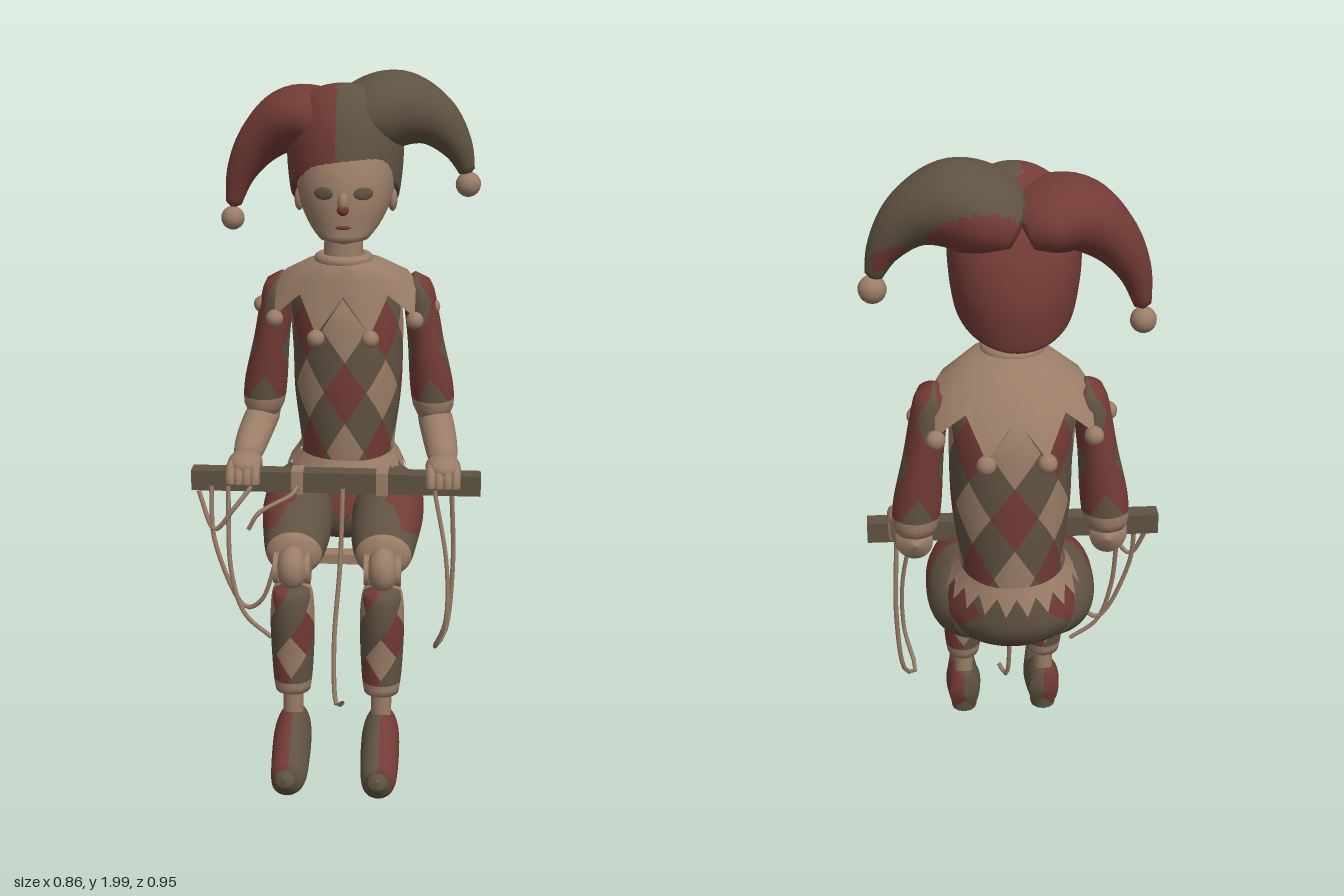
import * as THREE from 'three';

const mat = (name, color, side = THREE.FrontSide) => {
  const m = new THREE.MeshStandardMaterial({ color, side });
  m.name = name;
  return m;
};
const beige = mat('beige', 0x9a7d67, THREE.DoubleSide);
const red = mat('red', 0x733b35);
const olive = mat('olive', 0x5f5241);
const PALETTE = [beige, red, olive];
const X = new THREE.Vector3(1, 0, 0), Y = new THREE.Vector3(0, 1, 0), Z = new THREE.Vector3(0, 0, 1);

function add(group, name, geo, material, pos = [0, 0, 0], scale = [1, 1, 1]) {
  const m = new THREE.Mesh(geo, material);
  m.name = name;
  m.position.set(...pos);
  m.scale.set(...scale);
  group.add(m);
  return m;
}

// Closed elliptical loft along a curve through sections [x, y, z, r1, r2]. U x V is a grid of
// half diamonds, each split k x k; pick(u, v, p) chooses the palette colour of a triangle.
// A given axis keeps all rings parallel; otherwise they follow the curve.
function loft(group, name, sections, pick, { U = 8, V = 4, k = 3, side = X, axis = null } = {}) {
  const path = new THREE.CatmullRomCurve3(sections.map(s => new THREE.Vector3(s[0], s[1], s[2])));
  const radii = new THREE.CatmullRomCurve3(sections.map(s => new THREE.Vector3(s[3], s[4], 0)), false, 'catmullrom');
  const cols = U * k, rows = V * k, pos = [], buckets = [[], [], []];
  for (let j = 0; j <= rows; j++) {
    const t = path.getUtoTmapping(j / rows);
    const c = path.getPoint(t), r = radii.getPoint(t);
    if (j === 0 || j === rows) r.set(0.001, 0.001, 0);
    const n = (axis ? axis.clone() : path.getTangent(t)).cross(side).normalize();
    for (let i = 0; i < cols; i++) {
      const a = i / cols * Math.PI * 2;
      const p = c.clone().addScaledVector(side, Math.cos(a) * Math.max(r.x, 0.001))
        .addScaledVector(n, Math.sin(a) * Math.max(r.y, 0.001));
      pos.push(p.x, p.y, p.z);
    }
  }
  const id = ([i, j]) => j * cols + i % cols;
  const p = new THREE.Vector3(), q = new THREE.Vector3();
  for (let j = 0; j < rows; j++) for (let i = 0; i < cols; i++) {
    const A = [i, j], B = [i + 1, j], C = [i + 1, j + 1], D = [i, j + 1];
    const even = (Math.floor(i / k) + Math.floor(j / k)) % 2 === 0;
    for (const tri of even ? [[A, B, C], [A, C, D]] : [[A, B, D], [B, C, D]]) {
      p.set(0, 0, 0);
      tri.forEach(v => p.add(q.fromArray(pos, id(v) * 3)));
      const u = (tri[0][0] + tri[1][0] + tri[2][0]) / 3 / k, v = (tri[0][1] + tri[1][1] + tri[2][1]) / 3 / k;
      buckets[pick(u, v, p.divideScalar(3))].push(...tri.map(id));
    }
  }
  const geo = new THREE.BufferGeometry();
  geo.setAttribute('position', new THREE.Float32BufferAttribute(pos, 3));
  geo.setIndex(buckets.flat());
  let start = 0;
  buckets.forEach((b, m) => { if (b.length) geo.addGroup(start, b.length, m); start += b.length; });
  geo.computeVertexNormals();
  return add(group, name, geo, PALETTE);
}

const plain = c => () => c;
// Harlequin diamonds: four palette numbers repeat over the lattice
const diamonds = (...four) => (u, v) =>
  four[(Math.floor((u + v) / 2) & 1) * 2 + (Math.floor((u - v) / 2) & 1)];

// Open cloth ring with n points; each row is a function (angle, isTip) -> [x, y, z]
function pointedRing(group, name, n, rows) {
  const cols = n * 2, pos = [], idx = [];
  for (const f of rows) for (let i = 0; i < cols; i++) pos.push(...f((i + 1) / cols * Math.PI * 2, i % 2 === 0));
  for (let j = 0; j < rows.length - 1; j++) for (let i = 0; i < cols; i++) {
    const a = j * cols + i, b = j * cols + (i + 1) % cols, c = a + cols, d = b + cols;
    idx.push(...(i % 2 ? [c, d, a, d, b, a] : [c, d, b, c, b, a]));
  }
  const geo = new THREE.BufferGeometry();
  geo.setAttribute('position', new THREE.Float32BufferAttribute(pos, 3));
  geo.setIndex(idx);
  geo.computeVertexNormals();
  add(group, name, geo, beige);
}

const ball = new THREE.SphereGeometry(1, 16, 12);

function buildHead(g) {
  loft(g, 'head', [[0.015, 1.525, -0.1, 0.03, 0.04], [0.015, 1.535, -0.1, 0.06, 0.065], [0.015, 1.58, -0.145, 0.102, 0.112],
    [0.015, 1.65, -0.185, 0.135, 0.153], [0.015, 1.73, -0.205, 0.143, 0.16], [0.015, 1.81, -0.225, 0.132, 0.14],
    [0.015, 1.87, -0.24, 0.08, 0.08]], plain(0), { U: 12, V: 6, axis: Y });
  add(g, 'neck', new THREE.CylinderGeometry(0.055, 0.06, 0.16, 16), beige, [0.01, 1.49, -0.175]);
  add(g, 'nose', ball, beige, [0.017, 1.655, -0.025], [0.016, 0.03, 0.022]);
  add(g, 'noseTip', ball, red, [0.017, 1.638, -0.016], [0.017, 0.016, 0.016]);
  add(g, 'mouth', ball, red, [0.017, 1.585, -0.034], [0.022, 0.006, 0.006]);
  for (const s of [-1, 1]) {
    add(g, 'eye', ball, olive, [0.017 + s * 0.056, 1.68, -0.042], [0.029, 0.018, 0.006]).rotation.y = s * 0.35;
    add(g, 'ear', ball, beige, [0.015 + s * 0.136, 1.64, -0.2], [0.014, 0.034, 0.026]);
  }
}

function buildHat(g) {
  const split = (u, v, p) => (p.x < -0.01 || p.z < -0.3 - 0.8 * Math.max(0, p.y - 1.77) ? 1 : 2);
  // The crown's rings all lean back from the brow to the nape
  loft(g, 'hatCrown', [[0.01, 1.645, -0.24, 0.145, 0.19], [0.01, 1.652, -0.241, 0.158, 0.208], [0.01, 1.76, -0.258, 0.17, 0.205],
    [0.01, 1.855, -0.268, 0.16, 0.168], [0.01, 1.92, -0.268, 0.11, 0.11], [0.01, 1.95, -0.265, 0.03, 0.03]],
    split, { U: 12, V: 8, k: 5, axis: new THREE.Vector3(0, 0.88, -0.47) });
  const opts = { U: 12, V: 8, k: 4, side: Z };
  loft(g, 'redHorn', [[-0.005, 1.83, -0.265, 0.13, 0.08], [-0.07, 1.86, -0.268, 0.155, 0.092], [-0.15, 1.86, -0.265, 0.13, 0.092],
    [-0.235, 1.8, -0.265, 0.085, 0.07], [-0.295, 1.71, -0.262, 0.05, 0.045], [-0.325, 1.6, -0.26, 0.02, 0.02]], split, opts);
  loft(g, 'oliveHorn', [[0.005, 1.83, -0.265, 0.13, 0.08], [0.08, 1.87, -0.265, 0.155, 0.11], [0.17, 1.89, -0.262, 0.135, 0.11],
    [0.265, 1.86, -0.265, 0.09, 0.078], [0.335, 1.785, -0.268, 0.052, 0.046], [0.37, 1.7, -0.27, 0.02, 0.02]], split, opts);
  add(g, 'redHornBell', ball, beige, [-0.325, 1.57, -0.26], [0.035, 0.035, 0.035]);
  add(g, 'oliveHornBell', ball, beige, [0.37, 1.675, -0.27], [0.037, 0.037, 0.037]);
}

function buildTorso(g) {
  loft(g, 'torso', [[0.02, 0.8, -0.265, 0.14, 0.16], [0.02, 0.9, -0.262, 0.145, 0.17], [0.02, 1.05, -0.26, 0.162, 0.176],
    [0.02, 1.18, -0.26, 0.166, 0.175], [0.015, 1.3, -0.258, 0.168, 0.165], [0.01, 1.38, -0.245, 0.15, 0.13],
    [0.01, 1.44, -0.2, 0.06, 0.07]], diamonds(2, 0, 1, 2), { U: 16, V: 7, k: 4, axis: Y });
  loft(g, 'pelvis', [[0.015, 0.6, -0.21, 0.04, 0.05], [0.015, 0.625, -0.22, 0.14, 0.13], [0.015, 0.7, -0.24, 0.195, 0.18],
    [0.02, 0.78, -0.255, 0.178, 0.175], [0.02, 0.86, -0.265, 0.14, 0.16]], diamonds(2, 2, 2, 1), { U: 12, V: 3, k: 4, axis: Y });

  // Ragged frill round the waist
  const ring = (y, rx, rz, cz, cx = 0.015) => a => [cx + Math.sin(a) * rx, y, cz + Math.cos(a) * rz];
  pointedRing(g, 'waistFrill', 20, [ring(0.87, 0.147, 0.168, -0.263), (a, tip) =>
    ring(tip ? 0.79 : 0.84, tip ? 0.19 : 0.17, tip ? 0.195 : 0.18, -0.26)(a)]);

  // Pointed collar with a bell on every tip
  const tipAt = a => ring(1.24 + 0.08 * Math.abs(Math.sin(a)), 0.255, 0.2, -0.255)(a);
  pointedRing(g, 'collar', 10, [ring(1.475, 0.065, 0.07, -0.18), ring(1.46, 0.115, 0.11, -0.2), ring(1.415, 0.19, 0.16, -0.24),
    (a, tip) => tip ? tipAt(a) : ring(1.375, 0.218, 0.176, -0.252)(a)]);
  for (let i = 0; i < 10; i++) {
    const [x, y, z] = tipAt((i + 0.5) / 10 * Math.PI * 2);
    add(g, 'collarBell', ball, beige, [x, y - 0.01, z], [0.026, 0.026, 0.026]);
  }
  add(g, 'collarRoll', new THREE.TorusGeometry(0.07, 0.017, 10, 24).rotateX(Math.PI / 2), beige, [0.01, 1.47, -0.18]);
}

function buildArm(g, s) {
  const at = list => list.map(([x, ...rest]) => [0.02 + s * x, ...rest]);
  const sleeve = diamonds(1, 1, 2, 1);
  loft(g, 'upperArm', at([[0.2, 1.415, -0.265, 0.015, 0.02], [0.207, 1.38, -0.265, 0.045, 0.068], [0.235, 1.2, -0.27, 0.055, 0.074],
    [0.255, 1.06, -0.275, 0.066, 0.07], [0.262, 0.98, -0.28, 0.058, 0.062], [0.262, 0.945, -0.285, 0.02, 0.02]]),
    (u, v) => (v > 5 ? 0 : sleeve(u, v)), { V: 6 });
  loft(g, 'forearm', at([[0.262, 0.955, -0.335, 0.02, 0.02], [0.265, 0.955, -0.31, 0.05, 0.05], [0.28, 0.925, -0.2, 0.052, 0.05],
    [0.29, 0.895, -0.11, 0.046, 0.042], [0.293, 0.88, -0.06, 0.036, 0.03]]), plain(0));
  add(g, 'palm', ball, beige, [0.02 + s * 0.293, 0.88, -0.035], [0.052, 0.035, 0.064]);
  // Fingers curl over the bar
  for (let i = 0; i < 4; i++) {
    const f = new THREE.TorusGeometry(0.046, 0.015, 8, 12, Math.PI * 1.1).rotateY(-Math.PI / 2);
    add(g, 'finger', f, beige, [0.02 + s * (0.258 + i * 0.024), 0.837, -0.015]);
  }
}

function buildLeg(g, s) {
  const x = 0.015 + s * 0.13;
  // Olive thigh with a red diamond on the outside and a beige end at the knee
  const thighColour = (u, v, p) => {
    if (v > 5.5) return 0;
    return (p.x - x) * s > 0 && Math.abs(p.z + 0.06) / 0.17 + Math.abs(p.y - 0.73) / 0.11 < 1 ? 1 : 2;
  };
  loft(g, 'thigh', [[x - s * 0.02, 0.71, -0.36, 0.04, 0.04], [x - s * 0.01, 0.71, -0.25, 0.11, 0.11],
    [x + s * 0.005, 0.71, -0.1, 0.108, 0.112], [x, 0.68, 0.04, 0.098, 0.092], [x, 0.655, 0.13, 0.078, 0.072],
    [x, 0.65, 0.165, 0.03, 0.03]], thighColour, { V: 6, k: 6 });
  add(g, 'kneeBall', ball, beige, [x, 0.64, 0.185], [0.045, 0.065, 0.058]);
  for (const d of [-1, 1]) {
    add(g, 'kneeDisc', new THREE.CylinderGeometry(0.045, 0.045, 0.014, 16).rotateZ(Math.PI / 2), beige, [x + d * 0.046, 0.635, 0.175]);
  }
  const stocking = diamonds(2, 0, 2, 1);
  loft(g, 'shin', [[x, 0.6, 0.185, 0.03, 0.03], [x, 0.58, 0.185, 0.055, 0.065], [x, 0.5, 0.183, 0.064, 0.075],
    [x, 0.38, 0.18, 0.062, 0.068], [x, 0.28, 0.185, 0.055, 0.058], [x, 0.245, 0.188, 0.045, 0.05], [x, 0.238, 0.188, 0.015, 0.015]],
    (u, v) => (v > 4.25 ? 0 : stocking(u, v)), { V: 5, k: 4 });
  add(g, 'ankle', new THREE.CylinderGeometry(0.03, 0.03, 0.12, 12), beige, [x, 0.2, 0.183]);
  // Curled shoe, red outside, olive inside and at the tip
  loft(g, 'shoe', [[x, 0.105, 0.127, 0.03, 0.045], [x, 0.108, 0.138, 0.046, 0.07], [x, 0.11, 0.2, 0.055, 0.08],
    [x, 0.082, 0.27, 0.056, 0.064], [x, 0.055, 0.34, 0.052, 0.045], [x, 0.066, 0.4, 0.043, 0.036],
    [x, 0.105, 0.45, 0.031, 0.028], [x, 0.125, 0.472, 0.022, 0.02]],
    (u, v, p) => ((p.x - x) * s > 0 && p.z < 0.42 ? 1 : 2), { V: 8, k: 4 });
  add(g, 'shoeHeel', new THREE.CylinderGeometry(0.045, 0.04, 0.05, 12), olive, [x, 0.06, 0.18]);
}

function buildControlBar(g) {
  add(g, 'bar', new THREE.BoxGeometry(0.855, 0.062, 0.053), olive, [-0.003, 0.833, -0.022]);
  add(g, 'crossPiece', new THREE.BoxGeometry(0.2, 0.03, 0.05), beige, [0.02, 0.6, 0]);
  for (const x of [-0.115, 0.135]) {
    add(g, 'cordWrap', new THREE.BoxGeometry(0.035, 0.07, 0.061), beige, [x, 0.833, -0.022]);
  }
  const cords = [
    [[-0.37, 0.82, 0.01], [-0.36, 0.65, 0.03], [-0.27, 0.45, 0.05], [-0.22, 0.48, 0.07], [-0.16, 0.66, 0.09]],
    [[-0.32, 0.82, 0.01], [-0.31, 0.56, 0.05], [-0.27, 0.43, 0.06], [-0.19, 0.36, 0.07]],
    [[-0.41, 0.8, 0], [-0.36, 0.69, 0.03], [-0.3, 0.76, 0.04], [-0.25, 0.82, 0.01]],
    [[0.02, 0.82, 0.01], [0.015, 0.6, 0.05], [0.0, 0.35, 0.1], [0.01, 0.18, 0.14], [0.03, 0.2, 0.17]],
    [[0.29, 0.82, 0.01], [0.33, 0.6, 0.05], [0.33, 0.42, 0.06], [0.3, 0.31, 0.0], [0.33, 0.34, -0.04], [0.35, 0.55, -0.06], [0.34, 0.82, -0.04]],
    [[-0.115, 0.82, 0.01], [-0.13, 0.81, 0.05], [-0.22, 0.77, 0.1], [-0.25, 0.72, 0.1]],
  ];
  for (const c of cords) {
    const curve = new THREE.CatmullRomCurve3(c.map(p => new THREE.Vector3(...p)));
    add(g, 'cord', new THREE.TubeGeometry(curve, 32, 0.007, 6), beige);
  }
}

export function createModel() {
  const model = new THREE.Group();
  model.name = 'jesterPuppet';
  const part = (name, build, ...args) => {
    const g = new THREE.Group();
    g.name = name;
    build(g, ...args);
    model.add(g);
  };
  part('headGroup', buildHead);
  part('hat', buildHat);
  part('body', buildTorso);
  for (const [label, s] of [['left', 1], ['right', -1]]) {
    part(label + 'Arm', buildArm, s);
    part(label + 'Leg', buildLeg, s);
  }
  part('controlBar', buildControlBar);
  return model;
}
